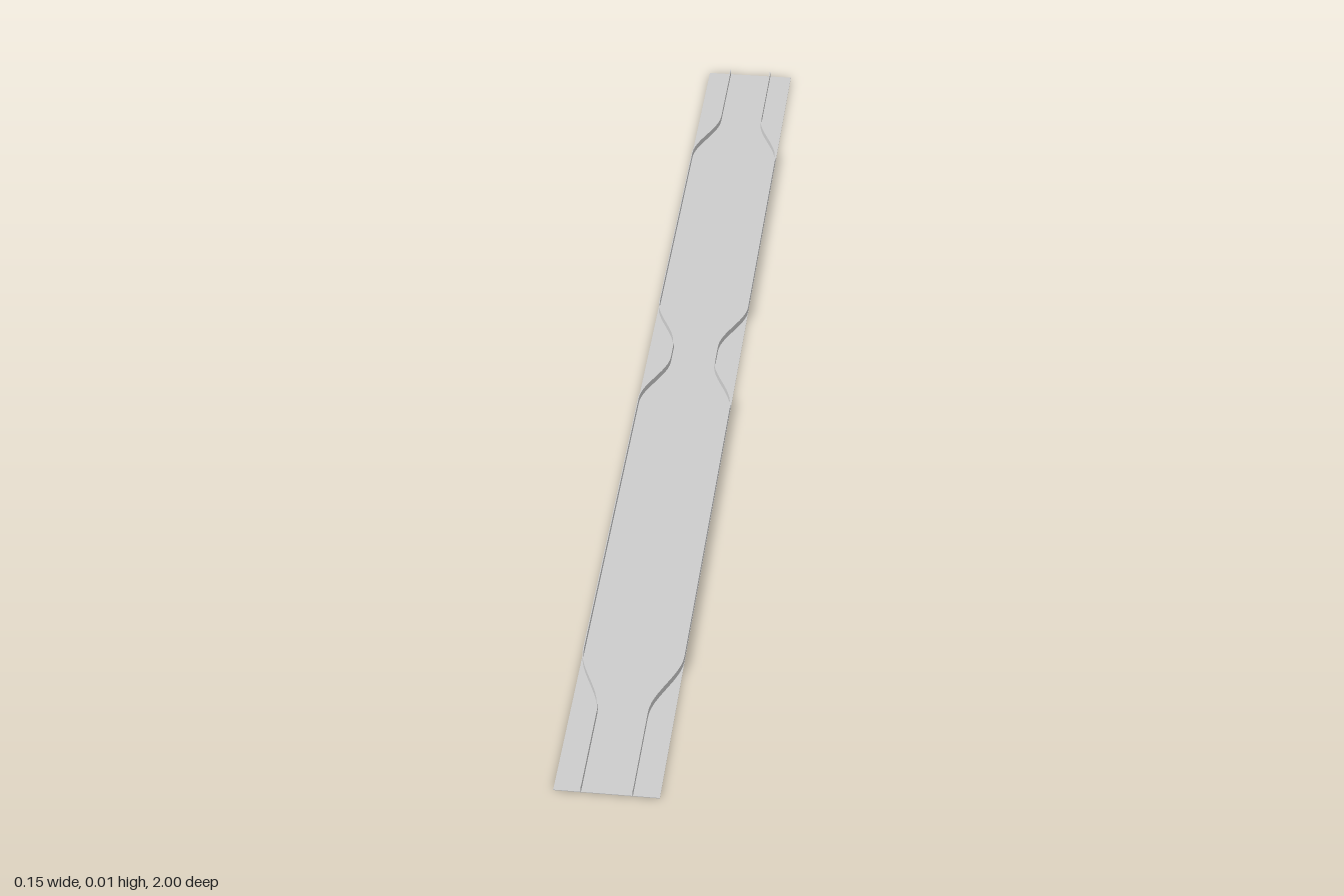
import * as THREE from 'three';

const HALF_WIDTH = 0.076, NARROW = 0.037, WIDE = 0.075;
const FLOOR_TOP = 0.001, WALL_TOP = 0.011, WALL_THICK = 0.0015;

// Wall line down the track: [z, distance from the centre line]
const STATIONS = [
  [-1, NARROW], [-0.83, NARROW], [-0.7, WIDE], [-0.22, WIDE],
  [-0.1, NARROW], [-0.06, NARROW], [0.06, WIDE],
  [0.7, WIDE], [0.83, NARROW], [1, NARROW],
];

// Straight runs joined by smooth S-bends
function wallLine() {
  const points = [];
  for (let i = 0; i < STATIONS.length - 1; i++) {
    const [z0, x0] = STATIONS[i], [z1, x1] = STATIONS[i + 1];
    const steps = x0 === x1 ? 1 : 12;
    for (let k = 0; k < steps; k++) {
      const t = k / steps;
      points.push([x0 + (x1 - x0) * t * t * (3 - 2 * t), z0 + (z1 - z0) * t]);
    }
  }
  points.push([NARROW, 1]);
  return points;
}

// Thin upright wall: a closed outline in plan, extruded upwards
function makeWall(side, material) {
  const line = wallLine();
  const half = WALL_THICK / 2;
  const outer = line.map(([x, z]) => new THREE.Vector2(side * (x + half), -z));
  const inner = line.map(([x, z]) => new THREE.Vector2(side * (x - half), -z)).reverse();
  const geometry = new THREE.ExtrudeGeometry(new THREE.Shape([...outer, ...inner]), {
    depth: WALL_TOP, bevelEnabled: false,
  });
  geometry.rotateX(-Math.PI / 2);
  return new THREE.Mesh(geometry, material);
}

export function createModel() {
  const group = new THREE.Group();
  group.name = 'track';
  const material = new THREE.MeshStandardMaterial({ color: 0xcccccc, side: THREE.DoubleSide });

  // Flat track bed
  const floor = new THREE.Mesh(new THREE.BoxGeometry(HALF_WIDTH * 2, FLOOR_TOP, 2), material);
  floor.position.y = FLOOR_TOP / 2;
  floor.name = 'floor';
  group.add(floor);

  // Mirrored side walls
  for (const side of [-1, 1]) {
    const wall = makeWall(side, material);
    wall.name = side > 0 ? 'leftWall' : 'rightWall';
    group.add(wall);
  }
  return group;
}
